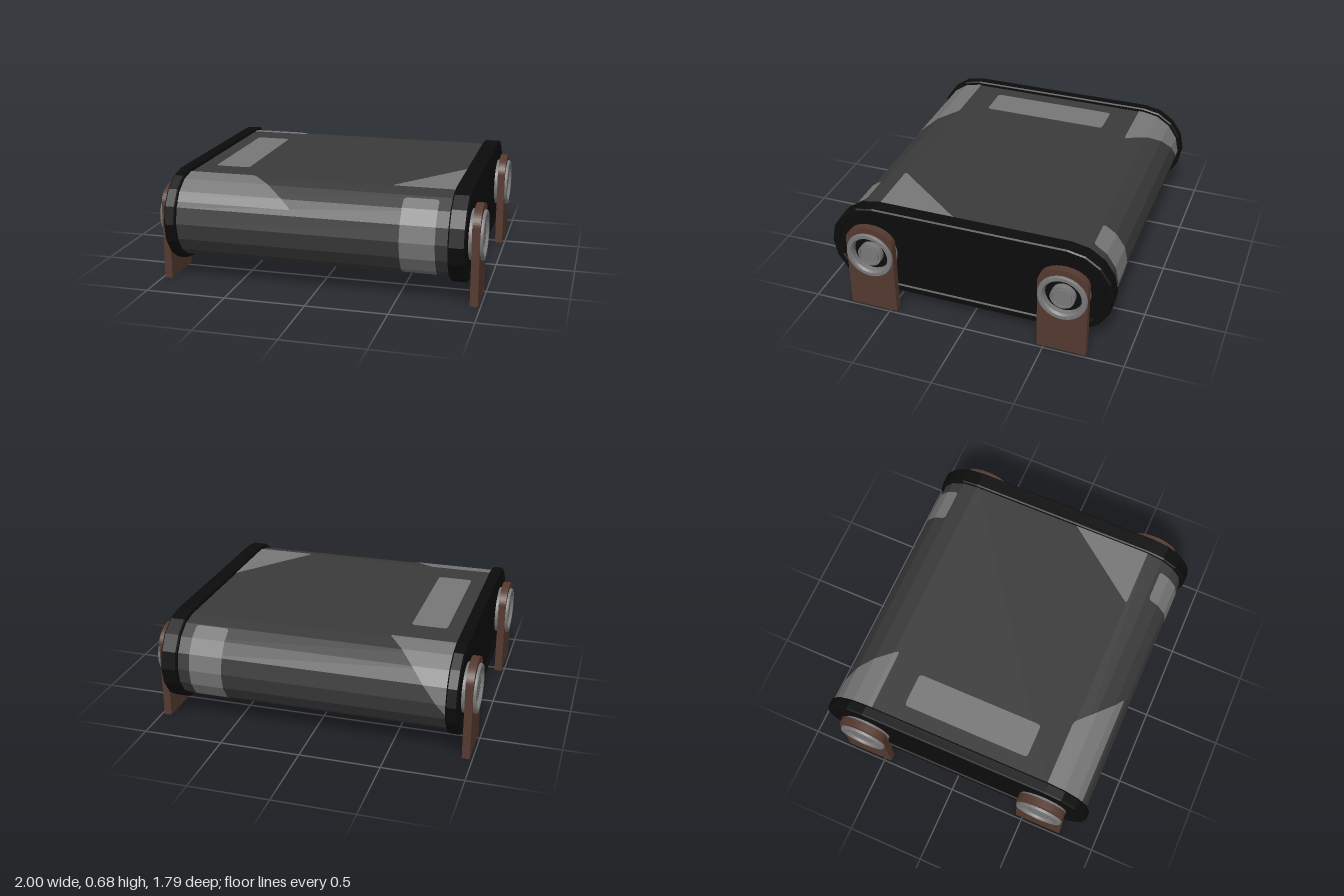
import * as THREE from 'three';
import { toCreasedNormals } from 'three/addons/utils/BufferGeometryUtils.js';

const CY = 0.395, CZ = 0.61, R = 0.26, SEG = 8;

const mat = (name, color, side = THREE.FrontSide) => {
  const m = new THREE.MeshStandardMaterial({ color, side });
  m.name = name;
  return m;
};
const beltMat = mat('dark grey rubber', 0x3a3a3a);
const patchMat = mat('worn grey', 0x767676, THREE.DoubleSide);
const blackMat = mat('black', 0x0c0c0c);
const brownMat = mat('brown steel', 0x54392f);
const steelMat = mat('grey steel', 0x787878);

function add(parent, name, geometry, material) {
  const m = new THREE.Mesh(geometry, material);
  m.name = name;
  parent.add(m);
  return m;
}

// Outline with straight top and bottom and faceted round ends
function stadium(r) {
  const pts = [];
  for (const side of [1, -1])
    for (let i = 0; i <= SEG; i++) {
      const a = side * Math.PI / 2 - (i / SEG) * Math.PI;
      pts.push(new THREE.Vector2(side * CZ + r * Math.cos(a), CY + r * Math.sin(a)));
    }
  return pts;
}

// Extrude a (z, y) shape along x between x0 and x1
function slab(shape, x0, x1, bevel = 0) {
  const g = new THREE.ExtrudeGeometry(shape, {
    depth: x1 - x0 - 2 * bevel, bevelEnabled: bevel > 0, bevelSize: bevel,
    bevelThickness: bevel, bevelOffset: -bevel, bevelSegments: 1, curveSegments: 16,
  });
  g.rotateY(-Math.PI / 2);
  g.translate(x1 - bevel, 0, 0);
  return g;
}

// Point on the belt: s runs along the loop, s = z on the top run
function beltPoint(x, s) {
  const r = R + 0.004, sign = Math.sign(s) || 1, d = Math.abs(s), arc = Math.PI * R;
  if (d <= CZ) return [x, CY + r, s];
  if (d >= CZ + arc) return [x, CY - r, sign * (2 * CZ + arc - d)];
  const t = (d - CZ) / arc * SEG, i = Math.floor(t), f = t - i;
  const at = k => [Math.cos(k * Math.PI / SEG) * r, Math.sin(k * Math.PI / SEG) * r];
  const [a, b] = [at(i), at(i + 1)];
  return [x, CY + a[0] + (b[0] - a[0]) * f, sign * (CZ + a[1] + (b[1] - a[1]) * f)];
}

// Convex worn patch with rounded corners, wrapped onto the belt
function patchGeometry(corners) {
  const v = corners.map(c => new THREE.Vector2(...c)), out = [];
  v.forEach((p, i) => {
    const step = q => p.clone().add(q.clone().sub(p).setLength(0.025));
    const a = step(v[(i + v.length - 1) % v.length]), b = step(v[(i + 1) % v.length]);
    out.push(...new THREE.QuadraticBezierCurve(a, p, b).getPoints(4));
  });
  const lo = Math.min(...out.map(p => p.y)), hi = Math.max(...out.map(p => p.y));
  const rows = out.map(p => p.y);
  for (let i = 0; i <= SEG; i++) {
    const s = CZ + i * Math.PI * R / SEG;
    for (const q of [s, -s]) if (q > lo && q < hi) rows.push(q);
  }
  rows.sort((a, b) => a - b);
  const ys = rows.filter((s, i) => i === 0 || s - rows[i - 1] > 1e-5);
  const span = s => {
    const xs = [];
    out.forEach((a, i) => {
      const b = out[(i + 1) % out.length];
      if ((s - a.y) * (s - b.y) > 1e-9) return;
      if (Math.abs(a.y - b.y) < 1e-5) xs.push(a.x, b.x);
      else xs.push(a.x + (b.x - a.x) * THREE.MathUtils.clamp((s - a.y) / (b.y - a.y), 0, 1));
    });
    return [Math.min(...xs), Math.max(...xs)];
  };
  const pos = [];
  for (let i = 0; i + 1 < ys.length; i++) {
    const [a, b] = span(ys[i]), [c, d] = span(ys[i + 1]);
    const A = beltPoint(a, ys[i]), B = beltPoint(b, ys[i]);
    const C = beltPoint(c, ys[i + 1]), D = beltPoint(d, ys[i + 1]);
    pos.push(...A, ...C, ...B, ...B, ...C, ...D);
  }
  const g = new THREE.BufferGeometry();
  g.setAttribute('position', new THREE.Float32BufferAttribute(pos, 3));
  g.computeVertexNormals();
  return g;
}

// Turned part around the x axis; profile points are (radius, x)
function turned(profile) {
  const g = new THREE.LatheGeometry(profile.map(p => new THREE.Vector2(...p)), 32);
  g.rotateZ(-Math.PI / 2);
  return toCreasedNormals(g, 0.5);
}

// Leg with an arched top carrying a bearing, at the +x side
function makeSupport() {
  const g = new THREE.Group();
  const shape = new THREE.Shape();
  shape.moveTo(-0.153, 0);
  shape.lineTo(0.153, 0);
  shape.lineTo(0.153, 0.48);
  shape.absellipse(0, 0.48, 0.153, 0.105, 0, Math.PI, false);
  shape.closePath();
  shape.holes.push(new THREE.Path().absarc(0, CY, 0.118, 0, Math.PI * 2, true));
  add(g, 'leg', slab(shape, 0.936, 0.984), brownMat);

  const bearing = new THREE.Group();
  bearing.name = 'bearing';
  bearing.position.y = CY;
  g.add(bearing);
  add(bearing, 'bearingRing', turned([[0.115, 0.915], [0.153, 0.915], [0.153, 0.988],
    [0.147, 1], [0.125, 1], [0.115, 0.985], [0.115, 0.915]]), steelMat);
  add(bearing, 'bearingHub', turned([[0.075, 0.915], [0.075, 0.99], [0.063, 0.99],
    [0.063, 0.975], [0.056, 0.975], [0.056, 0.99], [0, 0.99]]), steelMat);
  add(bearing, 'bearingSeat', turned([[0.117, 0.915], [0.117, 0.95], [0, 0.95]]), blackMat);
  return g;
}

export function createModel() {
  const model = new THREE.Group();
  model.name = 'conveyor';

  // Belt loop
  add(model, 'belt', slab(new THREE.Shape(stadium(R)), -0.86, 0.83), beltMat);

  // Worn patches as (x, s) corners; under(z) gives s on the bottom run
  const under = z => 2 * CZ + Math.PI * R - z;
  const rect = (x0, x1, s0, s1) => [[x0, s0], [x1, s0], [x1, s1], [x0, s1]];
  const patches = {
    topStripe: rect(-0.75, -0.53, -0.4, 0.425),
    topWedge: [[0.87, 0.035], [0.87, 0.61], [0.43, 0.61]],
    frontWedge: [[-0.89, 0.6], [-0.43, 0.6], [-0.13, 0.88], [-0.89, 0.88]],
    frontStripe: rect(0.53, 0.74, 0.735, 1.29),
    backStripe: rect(0.53, 0.74, -1.28, -0.72),
    backWedge: [[-0.89, -0.58], [-0.44, -0.58], [-0.89, -1.15]],
    bottomStripe: rect(-0.74, -0.53, under(0.425), under(-0.41)),
    bottomWedge: [[0.87, under(0.1)], [0.13, under(0.21)], [0.43, under(0.59)], [0.87, under(0.59)]],
  };
  for (const [name, corners] of Object.entries(patches))
    add(model, name, patchGeometry(corners), patchMat);

  // Side guards: raised rim around a slightly sunken plate
  for (const [side, inner] of [[1, 0.815], [-1, 0.847]]) {
    const span = (a, b) => (side > 0 ? [a, b] : [-b, -a]);
    const rim = new THREE.Shape(stadium(0.286));
    rim.holes.push(new THREE.Path(stadium(0.235).reverse()));
    add(model, 'guardRim', slab(rim, ...span(inner, 0.917), 0.008), blackMat);
    add(model, 'guardPlate', slab(new THREE.Shape(stadium(0.25)), ...span(inner + 0.01, 0.907)), blackMat);
  }

  // Four legs with bearings
  for (const side of [0, 1])
    for (const z of [CZ, -CZ]) {
      const s = makeSupport();
      s.name = 'support';
      s.position.z = z;
      s.rotation.y = side * Math.PI;
      model.add(s);
    }
  return model;
}
